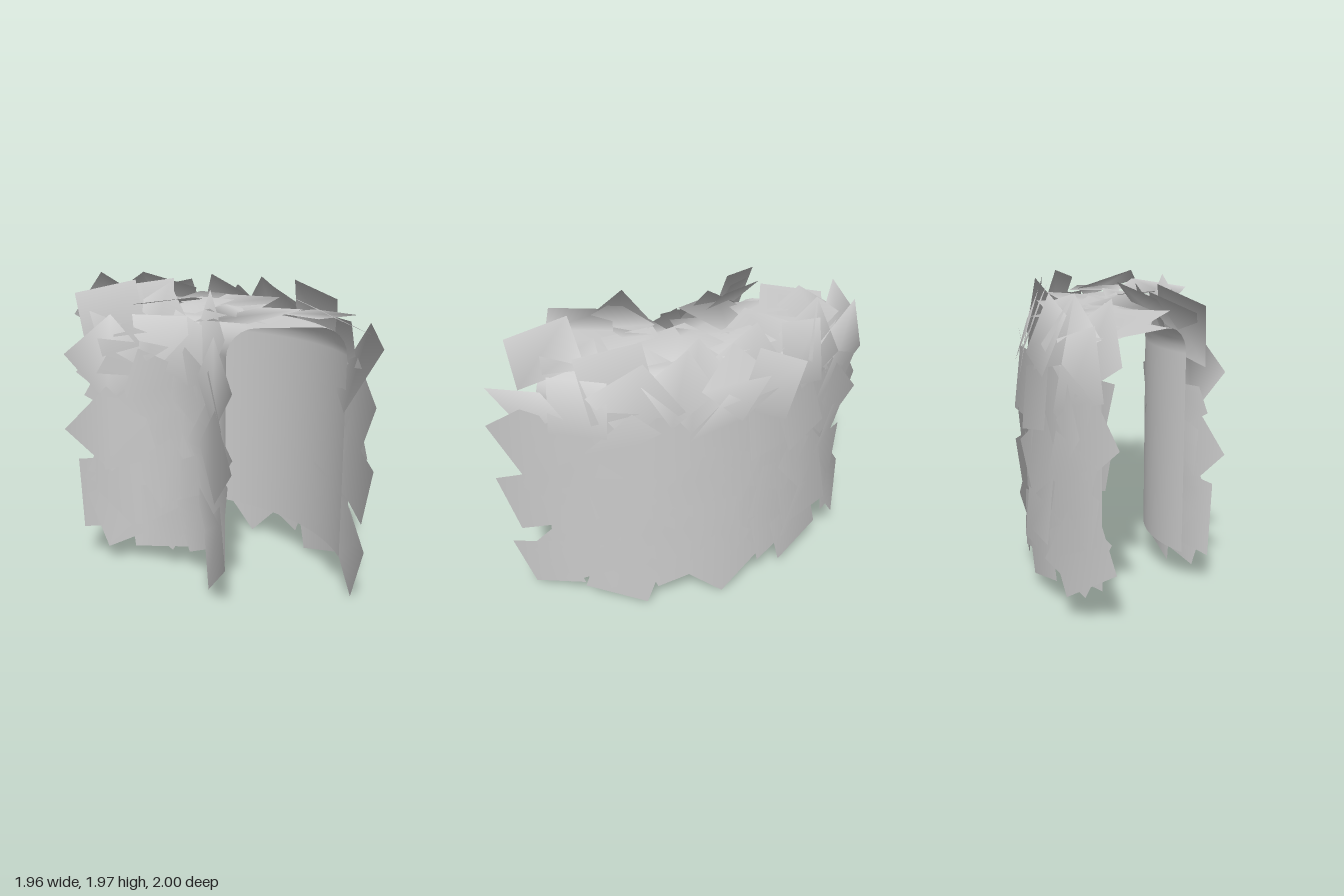
import * as THREE from 'three';

// Quarter-circle path in plan, and an upside-down U as its cross-section
const CX = -0.69, CZ = 0.65, R_IN = 0.73, R_OUT = 1.48;
const BASE = 0.24, TOP = 1.75, R = 0.18;
const WALL = TOP - R - BASE, ARC = R * Math.PI / 2, FLAT = R_OUT - R_IN - 2 * R;
const LENGTH = 2 * WALL + 2 * ARC + FLAT, QUARTER = Math.PI / 2;

// Profile point and normal at distance v, from the outer foot over the top to the inner foot
function profile(v) {
  if (v < WALL) return [R_OUT, BASE + v, 1, 0];
  v -= WALL;
  if (v < ARC) {
    const a = v / R, c = Math.cos(a), s = Math.sin(a);
    return [R_OUT - R + R * c, TOP - R + R * s, c, s];
  }
  v -= ARC;
  if (v < FLAT) return [R_OUT - R - v, TOP, 0, 1];
  v -= FLAT;
  if (v < ARC) {
    const a = v / R, c = Math.cos(a), s = Math.sin(a);
    return [R_IN + R - R * s, TOP - R + R * c, -s, c];
  }
  return [R_IN, TOP - R - (v - ARC), -1, 0];
}

// Position, normal and tangents of the tunnel surface
function frame(theta, v) {
  const [rho, y, nr, ny] = profile(v);
  const c = Math.cos(theta), s = Math.sin(theta);
  const n = new THREE.Vector3(nr * c, ny, -nr * s);
  const tu = new THREE.Vector3(-s, 0, -c);
  const tv = new THREE.Vector3().crossVectors(n, tu);
  return { p: new THREE.Vector3(CX + rho * c, y, CZ - rho * s), n, tu, tv, rho };
}

let seed = 11;
function rand(a, b) {
  seed = (seed * 16807) % 2147483647;
  return a + (b - a) * seed / 2147483647;
}

function tunnelGeometry() {
  const stops = [0, WALL / 2, WALL];
  for (let i = 1; i <= 6; i++) stops.push(WALL + ARC * i / 6);
  for (let i = 0; i <= 6; i++) stops.push(WALL + ARC + FLAT + ARC * i / 6);
  stops.push(LENGTH - WALL / 2, LENGTH);
  const pos = [], nor = [], idx = [], cols = 28, m = stops.length;
  for (let i = 0; i <= cols; i++) for (let j = 0; j < m; j++) {
    const f = frame(QUARTER * i / cols, stops[j]);
    pos.push(...f.p.toArray());
    nor.push(...f.n.toArray());
    if (i < cols && j < m - 1) {
      const a = i * m + j, b = a + m;
      idx.push(a, b, b + 1, a, b + 1, a + 1);
    }
  }
  const g = new THREE.BufferGeometry();
  g.setAttribute('position', new THREE.Float32BufferAttribute(pos, 3));
  g.setAttribute('normal', new THREE.Float32BufferAttribute(nor, 3));
  g.setIndex(idx);
  return g;
}

// Flat leaf card lying on the tunnel, shaded with the rounded tunnel normals
const LIMIT = new THREE.Box3(new THREE.Vector3(-0.98, 0, -1), new THREE.Vector3(0.98, 1.98, 1));
function leafGeometry(theta, v, spin, w, h, tiltX, tiltY, lift) {
  const f = frame(theta, v);
  const g = new THREE.PlaneGeometry(w, h);
  g.rotateZ(spin);
  const flat = g.attributes.position.clone();
  g.rotateX(tiltX);
  g.rotateY(tiltY);
  g.translate(0, 0, lift);
  g.applyMatrix4(new THREE.Matrix4().makeBasis(f.tu, f.tv, f.n).setPosition(f.p));
  for (let i = 0; i < 4; i++) {
    const vv = THREE.MathUtils.clamp(v + flat.getY(i), 0, LENGTH);
    const n = frame(theta + flat.getX(i) / f.rho, vv).n;
    g.attributes.normal.setXYZ(i, n.x, n.y, n.z);
  }
  // Slide leaves that stick out too far back inside the overall size
  g.computeBoundingBox();
  const b = g.boundingBox, d = new THREE.Vector3();
  for (const k of ['x', 'y', 'z']) {
    d[k] = Math.max(0, LIMIT.min[k] - b.min[k]) - Math.max(0, b.max[k] - LIMIT.max[k]);
  }
  return g.translate(d.x, d.y, d.z);
}

export function createModel() {
  const group = new THREE.Group();
  group.name = 'leafyTunnel';
  const material = new THREE.MeshStandardMaterial({ color: 0xcccccc, side: THREE.DoubleSide });
  const add = (name, geometry) => {
    const mesh = new THREE.Mesh(geometry, material);
    mesh.name = name;
    group.add(mesh);
  };
  add('tunnelShell', tunnelGeometry());

  // Leaves scattered on a jittered grid; those on the shoulders stand steeper
  const rows = 12;
  for (let j = 0; j < rows; j++) {
    const v0 = 0.18 + (LENGTH - 0.36) * j / (rows - 1);
    const cols = Math.round(profile(v0)[0] * QUARTER / 0.31);
    for (let i = 0; i < cols; i++) {
      const theta = QUARTER * (0.03 + 0.94 * (i + 0.5 + rand(-0.3, 0.3)) / cols);
      const v = THREE.MathUtils.clamp(v0 + rand(-0.09, 0.09), 0.14, LENGTH - 0.14);
      const [, , nr, ny] = profile(v);
      const size = rand(0.34, 0.43);
      add('leaf', leafGeometry(theta, v, rand(-0.8, 0.8), size, size * rand(0.95, 1.1),
        0.8 * nr * ny + rand(-0.19, 0.19), rand(-0.17, 0.17), rand(0.05, 0.08)));
    }
  }

  // Larger leaves overhanging the ends and feet: side, angle, height, spin, width, height, tilts
  const overhang = [
    ['in', 89, 0.97, 0.8, 0.42, 0.44, 0, 0.1], ['in', 88, 0.52, 0.05, 0.43, 0.5, 0, 0.1],
    ['in', 88, 1.46, 0.7, 0.42, 0.44, 0, 0.1], ['in', 55, 1.52, 0.03, 0.42, 0.5, -0.1, 0],
    ['in', 0, 0.34, 0.7, 0.42, 0.42, 0.1, -0.12], ['in', 60, 0.36, 0.15, 0.42, 0.45, 0, 0],
    ['in', 3, 1.4, 0.8, 0.42, 0.42, 0, -0.2], ['in', -2, 0.95, 0.75, 0.42, 0.44, 0, -0.25],
    ['out', 0, 0.28, 0.35, 0.44, 0.38, 0.1, 0], ['out', 20, 0.28, -0.3, 0.44, 0.4, 0, 0],
    ['out', 45, 0.31, 0.8, 0.42, 0.42, 0, 0], ['out', -2, 0.8, 0.35, 0.42, 0.42, 0, 0.15],
    ['out', -2, 1.26, 0.6, 0.42, 0.44, 0, 0.1], ['out', 0, 1.5, 0.25, 0.44, 0.46, 0.45, 0],
    ['out', 12, 0.52, 0.4, 0.42, 0.42, -0.38, 0], ['out', 68, 0.35, 0.3, 0.42, 0.42, 0, 0],
    ['out', 86, 0.48, 0.6, 0.42, 0.42, -0.25, 0.1], ['out', 80, 1.25, 0.7, 0.42, 0.42, 0, -0.3],
    ['out', 88, 1.22, 0.7, 0.42, 0.42, 0, -0.1], ['out', 86, 1.58, 0.3, 0.45, 0.42, 0, -0.2],
  ];
  for (const [side, deg, y, spin, w, h, tx, ty] of overhang) {
    const v = side === 'out' ? y - BASE : LENGTH - (y - BASE);
    add('overhangingLeaf', leafGeometry(deg * Math.PI / 180, v, spin, w, h, tx, ty, 0.07));
  }

  // Raised leaves along the roof: angle, distance over the roof from the outer corner, spin, tilts
  const raised = [
    [0, 0.24, 0.7, 0.2, 0], [0, 0.68, 0.5, -0.1, 0], [20, 0.13, 0.3, 0.45, 0.1],
    [38, 0.13, 0.7, 0.5, 0.1], [52, 0.14, 0.4, 0.4, -0.1], [72, 0.14, 0.2, 0.45, -0.1],
    [88, 0.13, 0.5, 0.4, -0.15], [84, 0.4, 0.4, 0.1, 0], [86, 0.82, 0.15, -0.5, 0.1],
    [70, 0.76, 0.2, -0.35, 0],
  ];
  for (const [deg, d, spin, tx, ty] of raised) {
    add('roofLeaf', leafGeometry(deg * Math.PI / 180, WALL + d, spin, 0.42, 0.42, tx, ty, 0.08));
  }
  return group;
}
